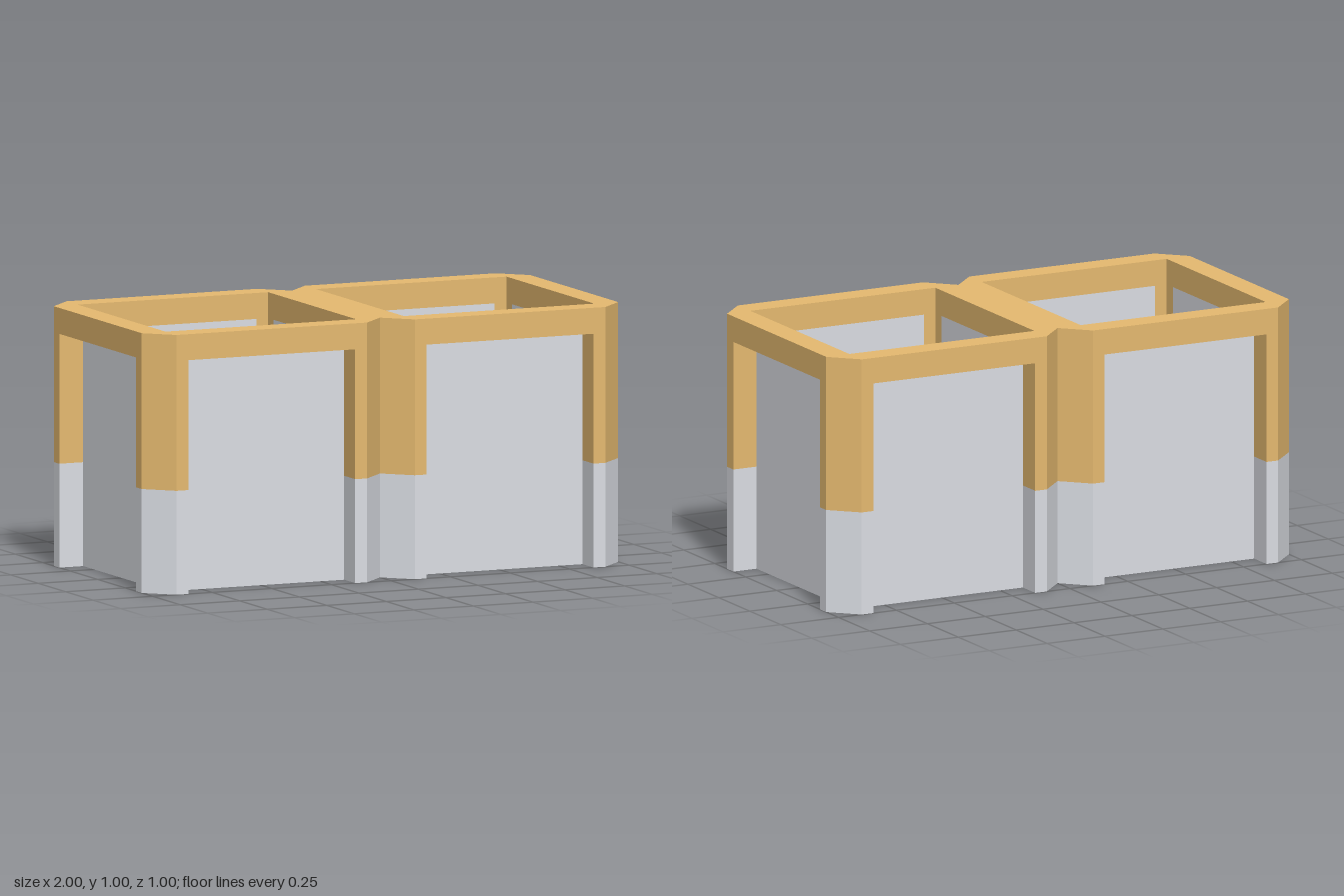
import * as THREE from 'three';

const tan = new THREE.MeshStandardMaterial({ color: 0xe6ba70 });
tan.name = 'tan frame';
const grey = new THREE.MeshStandardMaterial({ color: 0xdbdee4, side: THREE.DoubleSide });
grey.name = 'pale grey';

// Upright prism with a plan outline, from height y0 to y1
function prism(name, points, y0, y1, material, hole) {
  const shape = new THREE.Shape(points.map(([x, z]) => new THREE.Vector2(x, -z)));
  if (hole) shape.holes.push(new THREE.Path(hole.map(([x, z]) => new THREE.Vector2(x, -z))));
  const geometry = new THREE.ExtrudeGeometry(shape, { depth: y1 - y0, bevelEnabled: false });
  geometry.rotateX(-Math.PI / 2).translate(0, y0, 0);
  const mesh = new THREE.Mesh(geometry, material);
  mesh.name = name;
  return mesh;
}

// Plan outlines for one bay, centred on its own axis; the opening runs the other way round
const octagon = [[0.5, -0.4], [0.5, 0.4], [0.4, 0.5], [-0.4, 0.5],
  [-0.5, 0.4], [-0.5, -0.4], [-0.4, -0.5], [0.4, -0.5]];
const opening = [[0.4, 0.4], [0.4, -0.4], [-0.4, -0.4], [-0.4, 0.4]];
const corner = [[0.5, 0.35], [0.5, 0.4], [0.4, 0.5], [0.35, 0.5],
  [0.35, 0.4], [0.4, 0.4], [0.4, 0.35]];

function createBay() {
  const bay = new THREE.Group();
  bay.add(prism('topRim', octagon, 0.9, 1, tan, opening));
  for (let i = 0; i < 4; i++) {
    const side = new THREE.Group();
    side.name = 'cornerAndWall';
    side.rotation.y = i * Math.PI / 2;
    // Two-colour corner post
    side.add(prism('postUpper', corner, 0.4, 0.9, tan));
    side.add(prism('postFoot', corner, 0, 0.4, grey));
    // Thin wall set back between the posts
    const panel = new THREE.Mesh(new THREE.PlaneGeometry(0.7, 0.9), grey);
    panel.name = 'wallPanel';
    panel.position.set(0, 0.45, 0.4);
    side.add(panel);
    bay.add(side);
  }
  return bay;
}

export function createModel() {
  const model = new THREE.Group();
  model.name = 'doubleBay';
  // Two equal open bays side by side
  for (const s of [-1, 1]) {
    const bay = createBay();
    bay.name = s < 0 ? 'rightBay' : 'leftBay';
    bay.position.x = s * 0.5;
    model.add(bay);
  }
  return model;
}
